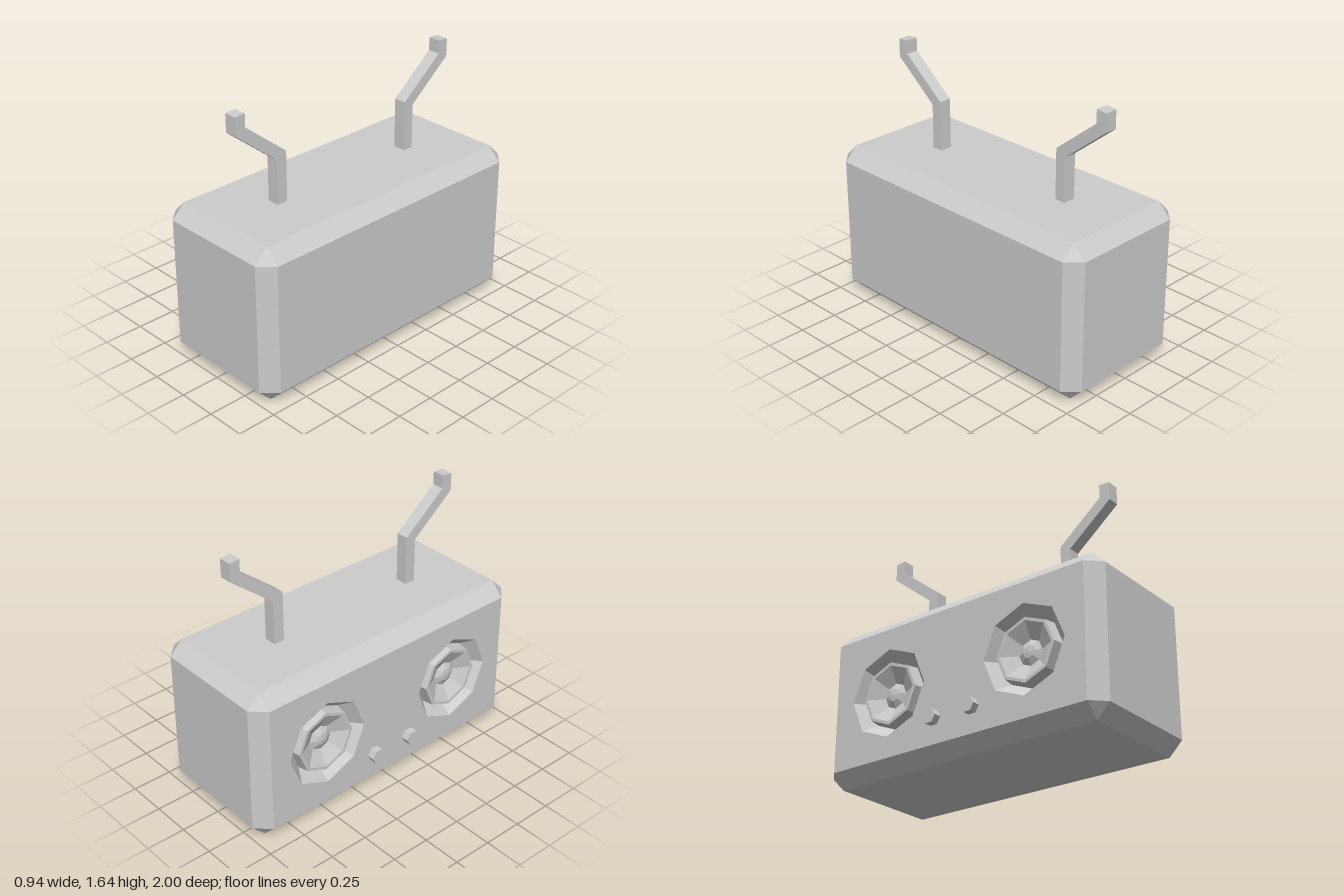
import * as THREE from 'three';
import { ConvexGeometry } from 'three/addons/geometries/ConvexGeometry.js';
import { mergeGeometries } from 'three/addons/utils/BufferGeometryUtils.js';

const CX = 0.02, HX = 0.445, HY = 0.5, HZ = 1, BEVEL = 0.087;
const FACE_X = CX - HX;               // side that carries the speakers
const SPEAKER_Z = 0.5, SPEAKER_R = 0.28;

const material = new THREE.MeshStandardMaterial({ color: 0xcccccc, flatShading: true });

function part(geometry, name) {
  const mesh = new THREE.Mesh(geometry, material);
  mesh.name = name;
  return mesh;
}

// Chamfered box whose speaker side is replaced by a panel with two octagonal holes
function bodyGeometry() {
  const points = [];
  for (const sx of [-1, 1]) for (const sy of [-1, 1]) for (const sz of [-1, 1]) {
    for (let axis = 0; axis < 3; axis++) {
      const inset = (i) => (i === axis ? 0 : BEVEL);
      points.push(new THREE.Vector3(
        CX + sx * (HX - inset(0)), HY + sy * (HY - inset(1)), sz * (HZ - inset(2))));
    }
  }
  const hull = new ConvexGeometry(points).getAttribute('position');
  const kept = [];
  for (let i = 0; i < hull.count; i += 3) {
    const onPanel = [0, 1, 2].every((k) => Math.abs(hull.getX(i + k) - FACE_X) < 1e-4);
    if (onPanel) continue;
    for (let k = 0; k < 3; k++) kept.push(hull.getX(i + k), hull.getY(i + k), hull.getZ(i + k));
  }
  const shell = new THREE.BufferGeometry();
  shell.setAttribute('position', new THREE.Float32BufferAttribute(kept, 3));
  shell.computeVertexNormals();

  const z = HZ - BEVEL, y0 = BEVEL, y1 = 2 * HY - BEVEL;
  const panelShape = new THREE.Shape([[-z, y0], [z, y0], [z, y1], [-z, y1]]
    .map(([a, b]) => new THREE.Vector2(a, b)));
  for (const s of [-1, 1]) {
    const ring = [];
    for (let i = 0; i < 8; i++) {
      const a = (i * Math.PI) / 4;
      ring.push(new THREE.Vector2(s * SPEAKER_Z + SPEAKER_R * Math.cos(a), HY + SPEAKER_R * Math.sin(a)));
    }
    panelShape.holes.push(new THREE.Path(ring));
  }
  const panel = new THREE.ShapeGeometry(panelShape).toNonIndexed();
  panel.deleteAttribute('uv');
  panel.rotateY(-Math.PI / 2).translate(FACE_X, 0, 0);
  return mergeGeometries([shell, panel]);
}

// Sunken groove, raised ring and shallow cone, from the rim to the centre
function speakerGeometry() {
  const profile = [[SPEAKER_R, 0], [0.21, -0.09], [0.2, -0.015], [0.18, -0.015],
    [0.08, -0.07], [0.04, -0.05], [0, -0.045]].map(([r, h]) => new THREE.Vector2(r, h));
  return new THREE.LatheGeometry(profile, 8).rotateZ(Math.PI / 2);
}

// Bent bracket, drawn in the z-y plane and extruded across x
function bracketGeometry() {
  const outline = [[0.48, 0.98], [0.55, 0.98], [0.55, 1.285], [0.84, 1.52],
    [0.84, 1.635], [0.77, 1.64], [0.77, 1.555], [0.48, 1.32]];
  const shape = new THREE.Shape(outline.map(([z, y]) => new THREE.Vector2(z, y)));
  return new THREE.ExtrudeGeometry(shape, { depth: 0.08, bevelEnabled: false })
    .rotateY(-Math.PI / 2).translate(0.04, 0, 0);
}

export function createModel() {
  const model = new THREE.Group();
  model.name = 'speakerBox';
  model.add(part(bodyGeometry(), 'body'));

  for (const s of [1, -1]) {
    const end = s > 0 ? 'front' : 'back';

    const speaker = part(speakerGeometry(), end + 'Speaker');
    speaker.position.set(FACE_X, HY, s * SPEAKER_Z);

    const bracket = part(bracketGeometry(), end + 'HandleBracket');
    bracket.position.x = CX;
    if (s < 0) bracket.rotation.y = Math.PI;

    // Hexagonal knob below and between the speakers
    const knob = part(new THREE.CylinderGeometry(0.048, 0.048, 0.065, 6).rotateZ(Math.PI / 2), end + 'Knob');
    knob.position.set(FACE_X - 0.0145, 0.247, s * 0.14);

    model.add(speaker, bracket, knob);
  }
  return model;
}
